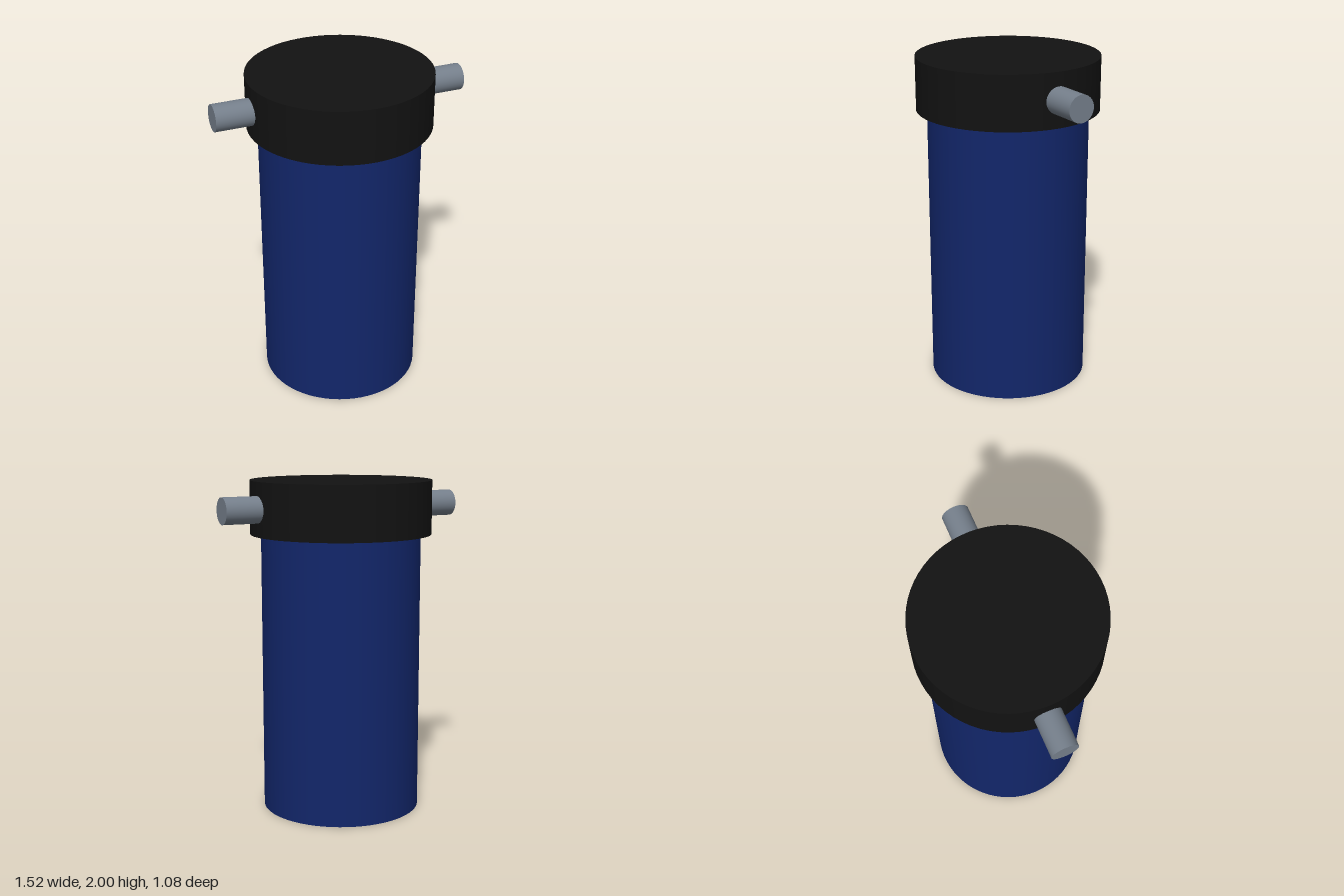
import * as THREE from 'three';

export function createModel() {
  const group = new THREE.Group();

  // Upright or rotated solid cylinder
  const addCylinder = (name, radius, height, color, segments) => {
    const mesh = new THREE.Mesh(
      new THREE.CylinderGeometry(radius, radius, height, segments),
      new THREE.MeshStandardMaterial({ color })
    );
    mesh.name = name;
    group.add(mesh);
    return mesh;
  };

  // Canister body, standing on the ground
  addCylinder('body', 0.478, 1.68, 0x12266a, 64).position.y = 0.84;

  // Wider cap on top
  addCylinder('cap', 0.542, 0.32, 0x121212, 64).position.y = 1.84;

  // Inlet and outlet pipes, reaching a little into the cap
  for (const [name, side] of [['leftPipe', 1], ['rightPipe', -1]]) {
    const pipe = addCylinder(name, 0.079, 0.32, 0x757f8b, 32);
    pipe.rotation.z = -side * Math.PI / 2;
    pipe.position.set(side * 0.6, 1.84, 0);
  }

  return group;
}
